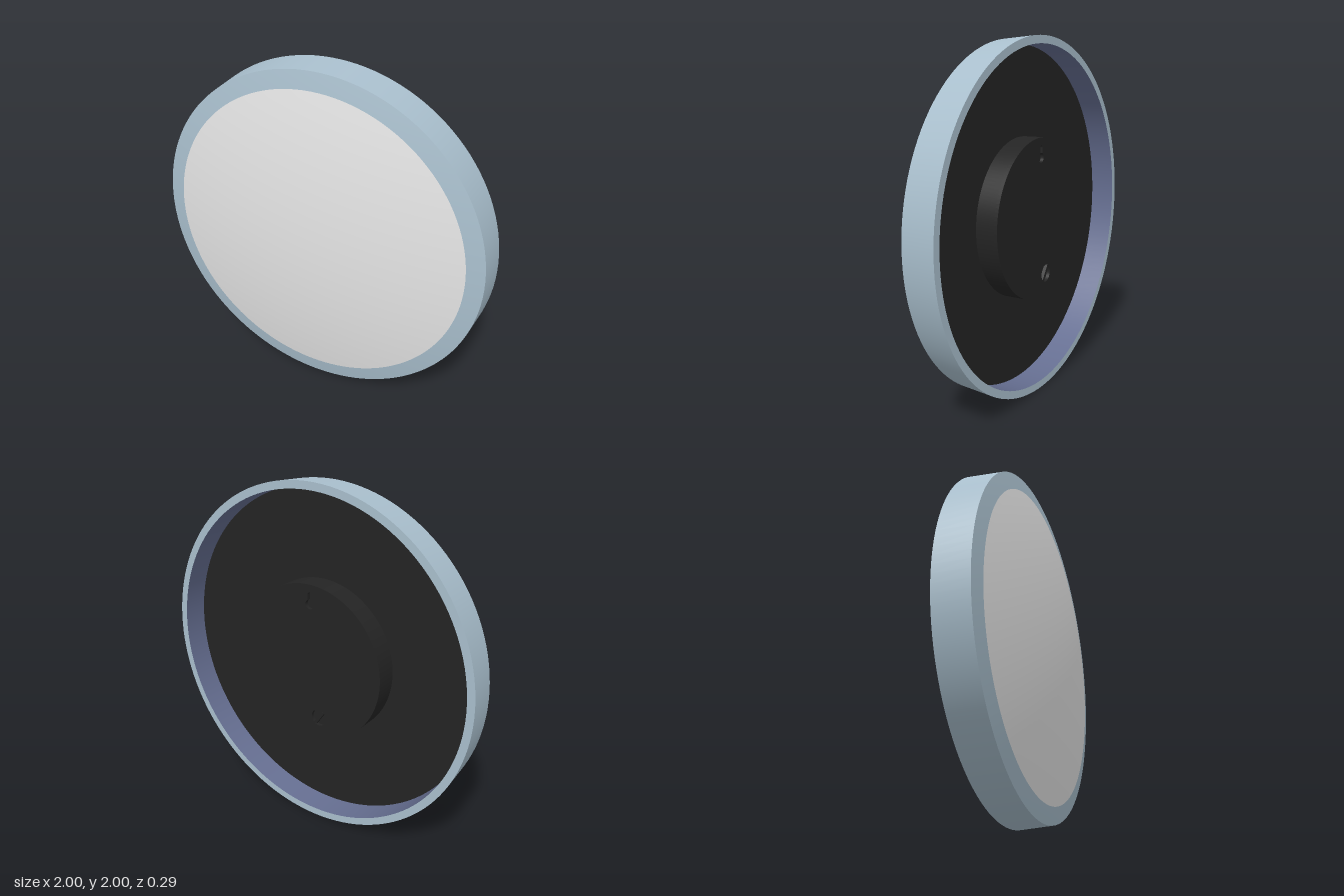
import * as THREE from 'three';

const SEG = 128;
const BACK = -0.147, EDGE = 0.045, FRONT = 0.147; // depths along z
const R_BACK = 1, R_FRONT = 0.987, R_INNER = 0.957, R_FACE = 0.89;
const HUB_R = 0.457, HUB_BACK = -0.128, PLATE = 0.02;

const paint = (name, color) => {
  const m = new THREE.MeshStandardMaterial({ color });
  m.name = name;
  return m;
};

// Height of the domed front at radius r
const dome = (r) => FRONT - (FRONT - EDGE) * (r / R_FRONT) ** 2;

// Dome profile from radius a inwards to radius b
const domeProfile = (a, b, n) =>
  Array.from({ length: n + 1 }, (_, i) => {
    const r = a + ((b - a) * i) / n;
    return [r, dome(r)];
  });

export function createModel() {
  const blue = paint('blue grey frame', 0xa9bfcd);
  const white = paint('pale diffuser', 0xe4e4e4);
  const slate = paint('slate lining', 0x666f92);
  const black = paint('black backing', 0x242424);

  const model = new THREE.Group();
  model.name = 'roundPanel';
  const body = new THREE.Group();
  body.name = 'body';
  body.position.y = 1;
  model.add(body);

  const add = (name, geometry, material, parent = body) => {
    const mesh = new THREE.Mesh(geometry, material);
    mesh.name = name;
    parent.add(mesh);
    return mesh;
  };
  // Turned part about z, from [radius, z] points
  const turned = (name, points, material) =>
    add(name, new THREE.LatheGeometry(points.map(([r, z]) => new THREE.Vector2(r, z)), SEG)
      .rotateX(Math.PI / 2), material);

  // Frame: back lip, tapered outer wall, domed front border
  turned('backLip', [[R_INNER, BACK], [R_BACK, BACK]], blue);
  turned('outerWall', [[R_BACK, BACK], [R_FRONT, EDGE]], blue);
  turned('frontBorder', domeProfile(R_FRONT, R_FACE, 6), blue);

  // Domed front face
  turned('frontFace', domeProfile(R_FACE, 0, 24), white);

  // Recessed back
  turned('innerWall', [[R_INNER, 0], [R_INNER, BACK]], slate);
  turned('backPanel', [[0, 0], [R_INNER, 0]], black);

  // Central hub: solid core under a thin plate with two cutouts
  const hub = new THREE.Group();
  hub.name = 'hub';
  body.add(hub);
  const coreDepth = -HUB_BACK - PLATE;
  add('hubCore', new THREE.CylinderGeometry(HUB_R, HUB_R, coreDepth, SEG)
    .rotateX(Math.PI / 2).translate(0, 0, -coreDepth / 2), black, hub);

  const disc = new THREE.Shape().absarc(0, 0, HUB_R, 0, Math.PI * 2, false);

  // Keyhole for hanging: round opening with a narrow slot above
  const keyhole = new THREE.Path();
  const a = 1.1, kr = 0.027, ky = 0.345;
  keyhole.absarc(0, ky, kr, Math.PI - a, a, false);
  keyhole.lineTo(kr * Math.cos(a), ky + 0.055);
  keyhole.absarc(0, ky + 0.055, kr * Math.cos(a), 0, Math.PI, false);
  keyhole.closePath();
  disc.holes.push(keyhole);

  // Round recess for the dial
  const dial = { x: -0.06, y: -0.33, r: 0.05 };
  disc.holes.push(new THREE.Path().absarc(dial.x, dial.y, dial.r, 0, Math.PI * 2, true));

  add('hubPlate', new THREE.ExtrudeGeometry(disc, {
    depth: PLATE, bevelEnabled: false, curveSegments: 64,
  }).translate(0, 0, HUB_BACK), black, hub);

  // Grip bar across the dial recess
  const grip = add('dialGrip', new THREE.BoxGeometry(0.018, dial.r * 1.96, PLATE), black, hub);
  grip.position.set(dial.x, dial.y, HUB_BACK + PLATE / 2);
  grip.rotation.z = 0.6;

  return model;
}
